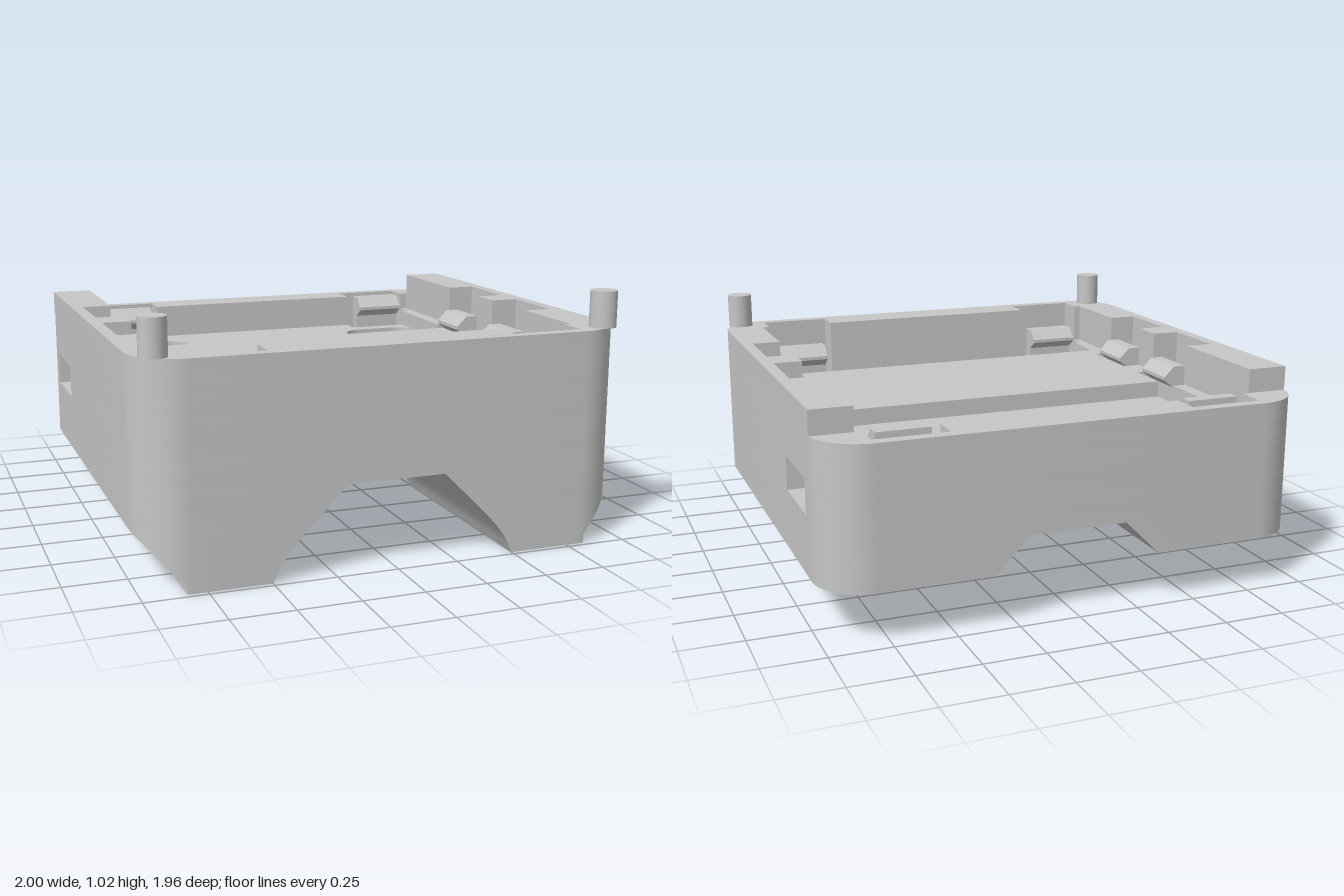
import * as THREE from 'three';
import { toCreasedNormals } from 'three/addons/utils/BufferGeometryUtils.js';

const D = 0.98, R = 0.2, CX = 0.8;
// heights
const RIM = 0.876, BACK_RIM = 0.777, LEDGE = 0.7, POCKET = 0.63, WELL = 0.595, PORT = 0.455;
const ARCH = 0.355, BELLY = 0.21, SOLE = 0.04;

const v2 = (p) => new THREE.Vector2(p[0], p[1]);
const mirror = (pts) => pts.map(([x, z]) => [-x, z]).reverse();
const sym = (half) => [...half, ...mirror(half)]; // closed outline from its +x half
const both = (list) => list.flatMap((p) => [p, mirror(p)]);
const rect = (x0, x1, z0, z1) => [[x0, z0], [x1, z0], [x1, z1], [x0, z1]];

function arc(cx, cz, r, a, b, n) {
  return Array.from({ length: n + 1 }, (_, i) => {
    const t = a + ((b - a) * i) / n;
    return [cx + r * Math.cos(t), cz + r * Math.sin(t)];
  });
}
const Q = Math.PI / 2;
const backCorner = arc(CX, R - D, R, -Q, 0, 16);
const frontCorner = arc(CX, D - R, R, 0, Q, 16);

export function createModel() {
  const model = new THREE.Group();
  const grey = new THREE.MeshStandardMaterial({ color: 0xc6c6c6 });
  grey.name = 'grey plastic';

  function add(name, geo) {
    const mesh = new THREE.Mesh(geo, grey);
    mesh.name = name;
    model.add(mesh);
    return mesh;
  }
  // horizontal slab of the body with cut-outs
  function layer(name, y0, y1, outline, holes = []) {
    const shape = new THREE.Shape(outline.map(v2));
    shape.holes = holes.map((h) => new THREE.Path(h.map(v2)));
    const geo = new THREE.ExtrudeGeometry(shape, { depth: y1 - y0, bevelEnabled: false });
    geo.rotateX(Q).translate(0, y1, 0);
    add(name, toCreasedNormals(geo, 0.5));
  }

  // plan outlines
  const footprint = sym([...backCorner, ...frontCorner]);
  const portOutline = sym([
    ...backCorner, [1, -0.725], [0.41, -0.725], [0.41, -0.41], [1, -0.41], ...frontCorner,
  ]);
  const oval = [...arc(0.68, -0.572, 0.09, -Q, Q, 16), ...arc(0.5, -0.572, 0.09, Q, 3 * Q, 16)];
  const frontWell = rect(0.75, 0.95, 0.14, 0.44);
  const wells = [rect(0.5, 0.8, -0.93, -0.73), rect(0.75, 0.95, -0.3, 0), frontWell, rect(0.5, 0.8, 0.73, 0.93)];
  const trench = sym([[0.77, 0.535], [0.77, 0.73], [0.8, 0.73], [0.8, 0.93], [0.5, 0.93], [0.5, 0.81]]);
  const rearPocket = sym([
    [0.5, -0.815], [0.5, -0.93], [0.8, -0.93], [0.8, -0.73], [0.77, -0.73],
    [0.77, -0.3], [0.95, -0.3], [0.95, 0], [0.75, 0], [0.75, -0.2],
  ]);
  const innerSide = [
    [0.83, -0.3], [0.95, -0.3], [0.95, 0], [0.83, 0], [0.83, 0.14], [0.95, 0.14], [0.95, 0.44],
    [0.83, 0.44], [0.83, 0.81], [0.8, 0.81], [0.8, 0.93], [0.5, 0.93], [0.5, 0.81],
  ];
  const ledge = sym([
    [0.5, -0.815], [0.5, -0.93], [0.8, -0.93], [0.8, -0.815], [0.83, -0.815], ...innerSide,
  ]);
  // top rim is a U, open at the back
  const rimInner = [[0.83, -0.81], ...innerSide];
  const rim = [
    ...sym([[1, -0.81], ...frontCorner]),
    ...rimInner.map(([x, z]) => [-x, z]), ...rimInner.slice().reverse(),
  ];

  layer('bodyBase', ARCH, PORT, footprint);
  layer('bodyPortLayer', PORT, WELL, portOutline);
  layer('bodyWellLayer', WELL, POCKET, footprint, both([oval, ...wells]));
  layer('bodyPocketLayer', POCKET, LEDGE, footprint, [rearPocket, trench, ...both([frontWell])]);
  layer('bodyLedgeLayer', LEDGE, BACK_RIM, footprint, [ledge]);
  layer('bodyRim', BACK_RIM, RIM, rim);

  // underside: half sections stacked in y; each ring runs back to front round the outside
  const archX = (y) => (y < 0.165 ? 0.5 - 0.36 * y - 1.9 * y * y : 0.2 + ARCH - y);
  const bellyRing = (y) => ({ y, pts: [[archX(y), -D], ...backCorner, ...frontCorner, [archX(y), D]] });
  function legRing(y, xo) {
    const zb = 0.01 - (y * 0.2) / BELLY;
    return {
      y,
      pts: [[archX(y), zb], [xo, zb], ...frontCorner.map(([x, z]) => [Math.min(x, xo), z]), [archX(y), D]],
    };
  }
  function loft(name, rings, side) {
    const pos = [];
    const tri = (...p) => (side > 0 ? p : p.reverse()).forEach((q) => pos.push(side * q[0], q[1], q[2]));
    for (let k = 0; k < rings.length - 1; k++) {
      const lo = rings[k], hi = rings[k + 1], n = lo.pts.length;
      const at = (r, m) => [r.pts[m][0], r.y, r.pts[m][1]];
      for (let i = 0; i < n; i++) {
        const j = (i + 1) % n;
        tri(at(lo, i), at(hi, i), at(lo, j));
        tri(at(lo, j), at(hi, i), at(hi, j));
      }
    }
    const geo = new THREE.BufferGeometry();
    geo.setAttribute('position', new THREE.Float32BufferAttribute(pos, 3));
    add(name, toCreasedNormals(geo, 0.3));
  }
  function bottomCap(name, { y, pts }, side, holes = []) {
    const flat = (list) => list.map(([x, z]) => v2([side * x, z]));
    const shape = new THREE.Shape(flat(pts));
    shape.holes = holes.map((h) => new THREE.Path(flat(h)));
    add(name, new THREE.ShapeGeometry(shape).rotateX(Q).translate(0, y, 0));
  }

  // chamfer rings follow the corner samples so the crease stays clean
  const chamfer = frontCorner.filter(([x]) => x > 0.835).map(([x]) => x).reverse();
  const slope = (BELLY - SOLE) / 0.17;
  const legRings = [
    legRing(0, 0.83), legRing(SOLE, 0.83), ...chamfer.map((x) => legRing(SOLE + (x - 0.83) * slope, x)),
  ];
  const bellyRings = [bellyRing(BELLY), bellyRing(ARCH)];

  for (const side of [1, -1]) {
    const s = side > 0 ? 'left' : 'right';
    loft(s + 'Belly', bellyRings, side);
    bottomCap(s + 'BellyBottom', bellyRings[0], side);
    loft(s + 'Leg', legRings, side);
    bottomCap(s + 'FootSole', legRings[0], side, [rect(0.635, 0.7, 0.12, 0.86)]);

    // inside-out box lines the slot in the sole
    const well = new THREE.BoxGeometry(0.065, 0.12, 0.74).scale(1, -1, 1);
    well.computeVertexNormals();
    add(s + 'FootSlot', well).position.set(side * 0.6675, 0.06, 0.49);

    const peg = add(s + 'Peg', new THREE.CylinderGeometry(0.054, 0.054, 1.024 - RIM, 32));
    peg.position.set(side * 0.917, (1.024 + RIM) / 2, 0.906);
  }

  // snap clips: hooked profile, tip facing the cavity
  function clip(name, x, z, turn, width) {
    const profile = [[0.045, WELL], [0.1, WELL], [0.1, 0.775], [0.045, 0.775], [0, 0.73], [0, 0.715], [0.045, 0.68]];
    const geo = new THREE.ExtrudeGeometry(new THREE.Shape(profile.map(v2)), { depth: width, bevelEnabled: false });
    const mesh = add(name, geo.translate(0, 0, -width / 2));
    mesh.position.set(x, 0, z);
    mesh.rotation.y = turn;
  }
  for (const side of [1, -1]) {
    const turn = side > 0 ? 0 : Math.PI;
    clip('sideClipRear', side * 0.75, -0.15, turn, 0.21);
    clip('sideClipFront', side * 0.75, 0.29, turn, 0.22);
    clip('rearClip', side * 0.65, -0.735, Q, 0.22);
    clip('frontClip', side * 0.65, 0.735, -Q, 0.22);
  }
  return model;
}
